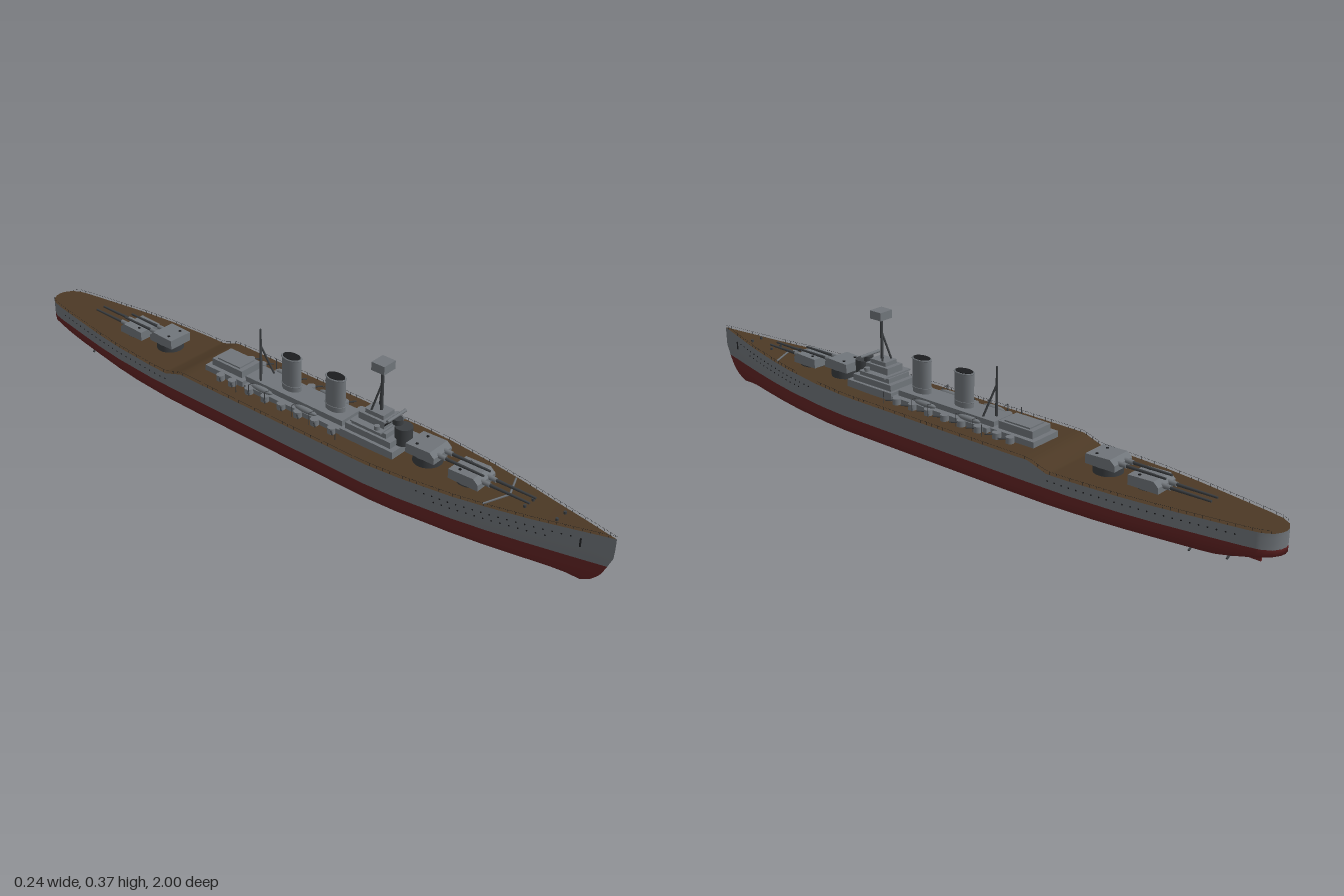
import * as THREE from 'three';

const mat = (name, color, side = THREE.FrontSide) => {
  const m = new THREE.MeshStandardMaterial({ color, side });
  m.name = name;
  return m;
};

// piecewise linear lookup in a list of [key, value] pairs
function lookup(t, k) {
  if (k <= t[0][0]) return t[0][1];
  for (let i = 1; i < t.length; i++) {
    const [a, va] = t[i - 1], [b, vb] = t[i];
    if (k <= b) return va + (vb - va) * (k - a) / (b - a);
  }
  return t[t.length - 1][1];
}

const BEAM = [[-1, 0], [-0.997, 0.016], [-0.985, 0.036], [-0.96, 0.051], [-0.92, 0.06], [-0.8, 0.08], [-0.7, 0.096],
  [-0.6, 0.108], [-0.45, 0.118], [-0.3, 0.12], [0.35, 0.12], [0.45, 0.113], [0.6, 0.093], [0.7, 0.074], [0.8, 0.051], [0.9, 0.026], [1, 0]];
const DECK = [[-1, 0.118], [-0.39, 0.115], [-0.33, 0.135], [0.3, 0.135], [0.6, 0.142], [0.8, 0.15], [1, 0.163]];
const STEM = [[0, 0.915], [0.02, 0.95], [0.045, 0.972], [0.08, 0.988], [0.1, 0.998], [0.12, 1]];
const STERN = [[0, -0.82], [0.02, -0.88], [0.04, -0.95], [0.058, -1]];
const WATER = 0.075;
const beam = z => lookup(BEAM, z), deckY = z => lookup(DECK, z);

// lengthwise stations, denser where the plan curves or the deck steps
const STATIONS = [...new Set([...BEAM.map(p => p[0]), ...DECK.map(p => p[0]),
  ...Array.from({ length: 41 }, (_, i) => Math.round((i * 0.05 - 1) * 100) / 100)])].sort((a, b) => a - b);

// one side of the hull; levels are functions giving [height, width factor]
function hullSide(levels, side) {
  const pos = [], idx = [], n = levels.length;
  for (const s of STATIONS) for (const level of levels) {
    const [y, f] = level(s), a = lookup(STERN, y), b = lookup(STEM, y);
    pos.push(side * beam(s) * f, y, a + (b - a) * (s + 1) / 2);
  }
  for (let i = 0; i < STATIONS.length - 1; i++) for (let j = 0; j < n - 1; j++) {
    const a = i * n + j, b = a + 1, c = a + n, d = c + 1;
    if (side > 0) idx.push(a, b, c, b, d, c);
    else idx.push(a, c, b, b, c, d);
  }
  return surface(pos, idx);
}

function surface(pos, idx) {
  const g = new THREE.BufferGeometry();
  g.setAttribute('position', new THREE.Float32BufferAttribute(pos, 3));
  g.setIndex(idx);
  g.computeVertexNormals();
  return g;
}

export function createModel() {
  const ship = new THREE.Group();
  ship.name = 'warship';
  const grey = mat('hull grey', 0x70757a, THREE.DoubleSide);
  const red = mat('bottom red', 0x642424, THREE.DoubleSide);
  const wood = mat('deck wood', 0x4c3925);
  const dark = mat('dark grey', 0x3a3d40);
  const black = mat('black', 0x1c1d1f);

  const add = (name, geo, m, x = 0, y = 0, z = 0, parent = ship) => {
    const mesh = new THREE.Mesh(geo, m);
    mesh.name = name;
    mesh.position.set(x, y, z);
    parent.add(mesh);
    return mesh;
  };
  // box given by width, bottom, top and its z range
  const block = (name, w, y0, y1, z0, z1, m = grey, x = 0) =>
    add(name, new THREE.BoxGeometry(w, y1 - y0, z1 - z0), m, x, (y0 + y1) / 2, (z0 + z1) / 2);
  const rod = (name, a, b, r, m, sides = 8, parent = ship, r2 = r) => {
    const p = new THREE.Vector3(...a), q = new THREE.Vector3(...b), d = q.clone().sub(p);
    const mesh = add(name, new THREE.CylinderGeometry(r2, r, d.length(), sides), m, 0, 0, 0, parent);
    mesh.position.copy(p).add(q).multiplyScalar(0.5);
    mesh.quaternion.setFromUnitVectors(new THREE.Vector3(0, 1, 0), d.normalize());
    return mesh;
  };
  const drum = (name, r, y0, y1, z, m, x = 0) =>
    add(name, new THREE.CylinderGeometry(r, r, y1 - y0, 24), m, x, (y0 + y1) / 2, z);

  // hull: red bottom, grey topsides, wooden deck
  const bottom = [[0.003, 0], [0.006, 0.3], [0.011, 0.6], [0.018, 0.82], [0.028, 0.94], [0.042, 0.99], [0.058, 1], [WATER, 1]];
  const top = [0, 0.35, 0.7, 1].map(t => s => [WATER + (deckY(s) - WATER) * t, 1]);
  for (const side of [1, -1]) {
    add('bottom', hullSide(bottom.map(l => () => l), side), red);
    add('topsides', hullSide(top, side), grey);
  }
  const pos = [], idx = [];
  STATIONS.forEach((z, i) => {
    pos.push(-beam(z), deckY(z), z, beam(z), deckY(z), z);
    if (i) { const a = 2 * i - 2; idx.push(a, a + 2, a + 1, a + 1, a + 2, a + 3); }
  });
  add('deck', surface(pos, idx), wood);

  // rails, portholes and anchors
  for (const s of [1, -1]) {
    for (let z = -0.98; z < 0.99; z += 0.02) {
      const p = k => [s * beam(k) * 0.985, deckY(k) + 0.008, k];
      const a = p(z), b = p(z + 0.02);
      rod('rail', a, b, 0.0003, black, 3);
      rod('railPost', [a[0], a[1] - 0.008, z], a, 0.0004, black, 3);
    }
    const portholes = (z0, z1, drop) => {
      for (let z = z0; z < z1; z += 0.022)
        rod('porthole', [s * (beam(z) - 0.002), deckY(z) - drop, z], [s * (beam(z) + 0.0008), deckY(z) - drop, z], 0.0022, black);
    };
    portholes(0.5, 0.9, 0.02);
    portholes(0.55, 0.84, 0.036);
    portholes(-0.9, -0.38, 0.018);
    rod('anchor', [s * 0.0215, 0.114, 0.92], [s * 0.0215, 0.138, 0.92], 0.0025, black);
    rod('breakwater', [s * 0.072, 0.147, 0.675], [0, 0.15, 0.705], 0.003, grey, 4);
    for (const z of [0.76, 0.85]) drum('bollard', 0.004, deckY(z), deckY(z) + 0.007, z, dark, s * 0.018);
    // propeller shafts and blades
    for (const [x, z] of [[0.025, -0.87], [0.05, -0.78]]) {
      rod('shaft', [s * x, 0.025, z + 0.14], [s * x, 0.021, z], 0.003, red);
      for (let i = 0; i < 3; i++) {
        const a = i * Math.PI * 2 / 3;
        rod('blade', [s * x, 0.021, z], [s * x + Math.sin(a) * 0.014, 0.021 + Math.cos(a) * 0.014, z], 0.003, dark, 5);
      }
    }
  }
  block('rudder', 0.006, 0.018, 0.055, -0.94, -0.9, red);

  // main turrets
  const profile = new THREE.Shape([[-0.045, 0], [0.045, 0], [0.045, 0.017], [0.03, 0.03], [-0.045, 0.027]].map(p => new THREE.Vector2(...p)));
  const house = new THREE.ExtrudeGeometry(profile, { depth: 0.076, bevelEnabled: false });
  house.translate(0, 0, -0.038).rotateY(-Math.PI / 2);
  for (const [z, y, turn] of [[0.59, 0.145, 0], [0.455, 0.162, 0], [-0.495, 0.136, Math.PI], [-0.625, 0.117, Math.PI]]) {
    drum('barbette', 0.04, deckY(z) - 0.004, y, z, dark);
    const turret = new THREE.Group();
    turret.name = 'turret';
    turret.position.set(0, y, z);
    turret.rotation.y = turn;
    ship.add(turret);
    add('gunHouse', house, grey, 0, 0, 0, turret);
    for (const x of [-0.014, 0.014]) {
      rod('gunCollar', [x, 0.016, 0.035], [x, 0.016, 0.065], 0.0065, grey, 12, turret);
      rod('gunBarrel', [x, 0.016, 0.04], [x, 0.017, 0.18], 0.0048, dark, 10, turret, 0.003);
      add('hatch', new THREE.CylinderGeometry(0.004, 0.004, 0.004, 10), black, x * 1.6, 0.028, -0.02, turret);
    }
  }

  // forward bridge, stepped
  block('bridgeBase', 0.118, 0.13, 0.158, 0.21, 0.385);
  block('bridgeDeck', 0.098, 0.158, 0.176, 0.22, 0.37);
  block('bridgeTier', 0.082, 0.176, 0.19, 0.235, 0.35);
  block('bridgePlatform', 0.106, 0.19, 0.194, 0.24, 0.34);
  block('bridgeTower', 0.062, 0.194, 0.214, 0.25, 0.335);
  block('bridgeTop', 0.046, 0.214, 0.226, 0.265, 0.325);
  drum('conningTower', 0.024, 0.158, 0.207, 0.375, dark);
  drum('rangefinderBase', 0.014, 0.207, 0.222, 0.355, dark);
  rod('rangefinder', [-0.038, 0.227, 0.35], [0.038, 0.227, 0.35], 0.0045, grey, 10);
  for (const s of [1, -1]) {
    drum('searchlight', 0.008, 0.194, 0.205, 0.32, grey, s * 0.042);
    for (let i = 0; i < 4; i++) block('bridgeWindow', 0.009, 0.203, 0.209, 0.334, 0.3358, black, s * (0.006 + i * 0.0065));
  }

  // midship and aft deckhouses
  block('midshipPlatform', 0.112, 0.13, 0.149, -0.14, 0.21);
  block('midshipHouse', 0.076, 0.149, 0.165, -0.15, 0.2);
  block('aftHouseBase', 0.104, 0.13, 0.152, -0.295, -0.15);
  block('aftHouse', 0.076, 0.152, 0.173, -0.28, -0.165);
  block('aftHouseRoof', 0.06, 0.173, 0.177, -0.265, -0.18);

  // oval funnels with black mouths
  const ring = new THREE.TorusGeometry(0.02, 0.0016, 6, 28).rotateX(Math.PI / 2);
  for (const z of [0.145, -0.012]) {
    const funnel = drum('funnel', 0.02, 0.15, 0.264, z, grey);
    funnel.scale.z = 1.55;
    const mouth = drum('funnelMouth', 0.0175, 0.262, 0.2655, z, black);
    mouth.scale.z = 1.6;
    for (const y of [0.18, 0.262]) add('funnelBand', ring, grey, 0, y, z).scale.z = 1.55;
  }

  // tripod masts and the spotting top
  rod('foremast', [0, 0.2, 0.3], [0, 0.348, 0.3], 0.0045, dark, 12);
  rod('mainmast', [0, 0.15, -0.127], [0, 0.306, -0.127], 0.0045, dark, 12, ship, 0.003);
  for (const s of [1, -1]) {
    rod('foremastLeg', [s * 0.023, 0.2, 0.275], [0, 0.305, 0.3], 0.003, dark);
    rod('mainmastLeg', [s * 0.03, 0.155, -0.1], [0, 0.255, -0.127], 0.003, dark);
  }
  block('spottingTop', 0.046, 0.346, 0.37, 0.28, 0.322);

  // secondary guns, boats and davits along each side
  const hullOfBoat = new THREE.SphereGeometry(1, 14, 8).scale(0.009, 0.008, 0.04);
  for (const s of [1, -1]) {
    for (const z of [0.185, 0.125, 0.065, 0.005, -0.055, -0.115, -0.18, -0.225]) {
      drum('gunMount', 0.012, 0.132, 0.152, z, grey, s * 0.062);
      rod('sideGun', [s * 0.066, 0.146, z], [s * 0.086, 0.148, z + 0.022], 0.0022, dark);
    }
    for (const z of [0.085, -0.075]) {
      add('boat', hullOfBoat, grey, s * 0.052, 0.158, z);
      for (const d of [-0.03, 0.03]) {
        rod('davit', [s * 0.074, 0.134, z + d], [s * 0.074, 0.171, z + d], 0.001, dark, 5);
        rod('davitArm', [s * 0.074, 0.171, z + d], [s * 0.055, 0.168, z + d], 0.001, dark, 5);
      }
    }
    for (const z of [0.215, -0.145]) rod('sidePost', [s * 0.083, 0.134, z], [s * 0.083, 0.17, z], 0.001, dark, 5);
  }
  return ship;
}
